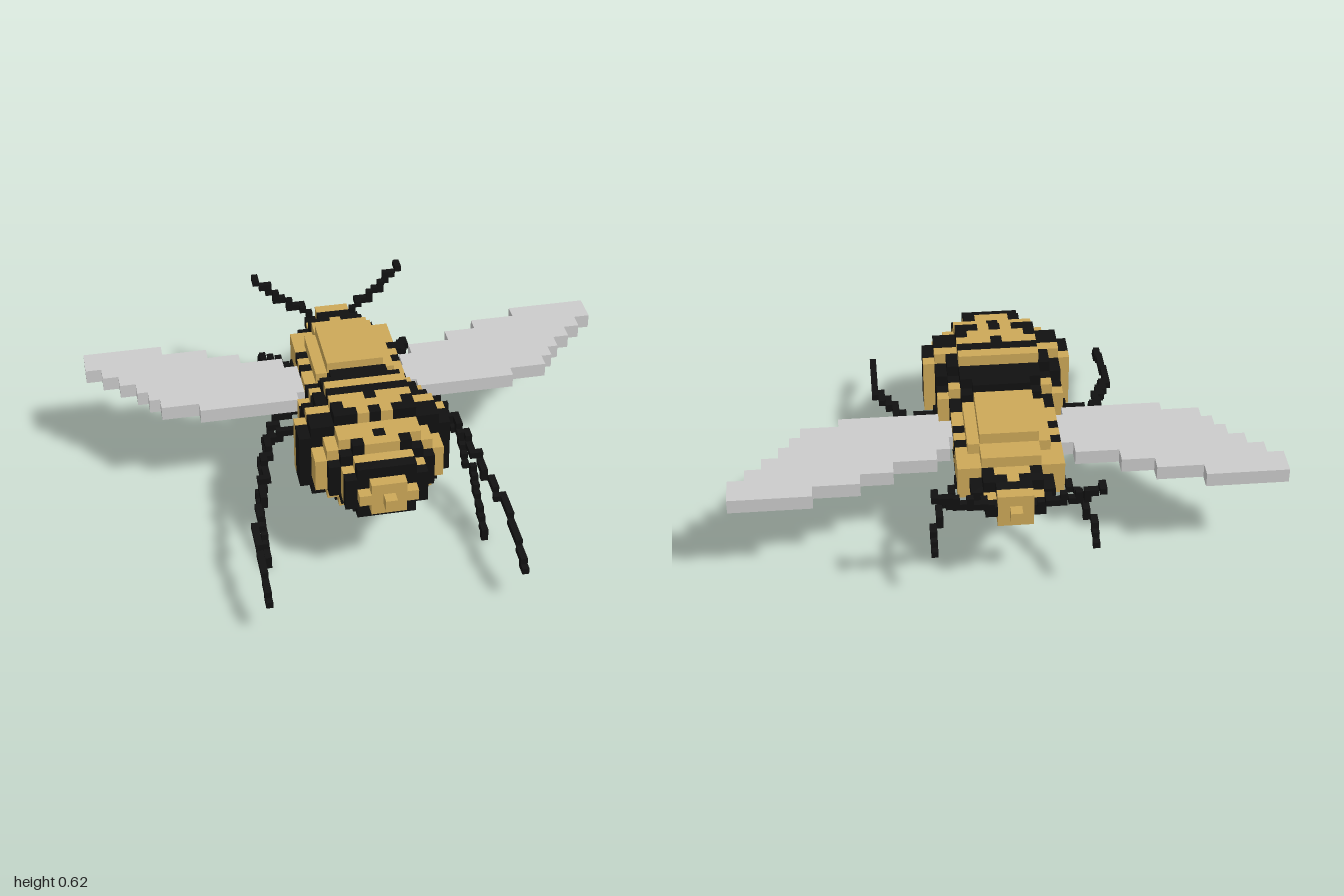
import * as THREE from 'three';
import { mergeGeometries } from 'three/addons/utils/BufferGeometryUtils.js';

const V = 0.0427; // body block size
const L = 0.025; // limb block size
const TAIL_Z = 0.587, MID_Y = 0.429, MID_X = -0.007;

const gold = new THREE.MeshStandardMaterial({ color: 0xcca858, flatShading: true });
const black = new THREE.MeshStandardMaterial({ color: 0x111111, flatShading: true });
const grey = new THREE.MeshStandardMaterial({ color: 0xcccccc, flatShading: true });

// Slices from tail to head: half width, half height (in blocks),
// colour by distance from the centre line (last letter continues outward)
const SLICES = [
  [0, 0, 'g'], [2, 1, 'g'], [3, 2, 'b'], [3, 2, 'g'], [4, 3, 'ggb'],
  [5, 3, 'bg'], [5, 3, 'g'], [6, 4, 'bgb'], [6, 4, 'gggb'], [6, 4, 'bg'],
  [5, 4, 'b'], [5, 4, 'ggggb'], [5, 3, 'bbbbb'], [5, 3, 'bbbbg'], [4, 3, 'b'], [4, 2, 'b'],
  [4, 3, 'g'], [4, 3, 'g'], [4, 3, 'g'], [4, 3, 'g'], [4, 3, 'g'], [4, 3, 'g'],
  [4, 2, 'g'], [4, 2, 'g'],
  [3, 1, 'ggb'], [3, 1, 'gb'], [2, 1, 'bbg'], [2, 1, 'g'], [0, 0, 'g'],
];

// Rounded cross-section: outer rows are narrower
function filled(i, j, k) {
  const s = SLICES[k];
  if (!s) return false;
  const [hw, hh] = s, y = Math.abs(j);
  if (y > hh) return false;
  let w = hw;
  if (y === hh && hh > 0) w = Math.ceil(hw / 2);
  else if (y === hh - 1 && hh >= 3) w = hw - 1;
  return Math.abs(i) <= w;
}

function isGold(i, j, k) {
  const x = Math.abs(i), y = Math.abs(j);
  // dark checks on the thorax flanks, and the eyes
  if (x === 4 && ((y === 1 && (k === 18 || k === 20)) || (y === 0 && k === 19))) return false;
  if (k === 27 && x === 2 && y === 0) return false;
  if (k === 13 && y === 3) return false;
  if (k === 11) return y === 4;
  const p = SLICES[k][2];
  return p[Math.min(x, p.length - 1)] === 'g';
}

function block(size, x, y, z) {
  return new THREE.BoxGeometry(size, size, size).translate(x, y, z);
}

// Surface blocks of the slices from k0 up to k1
function bodyPart(name, k0, k1) {
  const part = new THREE.Group();
  part.name = name;
  const sets = { gold: [], black: [] };
  for (let k = k0; k < k1; k++)
    for (let i = -6; i <= 6; i++)
      for (let j = -4; j <= 4; j++) {
        if (!filled(i, j, k)) continue;
        const inside = filled(i - 1, j, k) && filled(i + 1, j, k) && filled(i, j - 1, k) &&
          filled(i, j + 1, k) && filled(i, j, k - 1) && filled(i, j, k + 1);
        if (inside) continue;
        sets[isGold(i, j, k) ? 'gold' : 'black'].push(
          block(V, MID_X + i * V, MID_Y + j * V, TAIL_Z - (k + 0.5) * V));
      }
  for (const [key, mat] of [['gold', gold], ['black', black]]) {
    if (!sets[key].length) continue;
    const mesh = new THREE.Mesh(mergeGeometries(sets[key]), mat);
    mesh.name = `${name} ${key} blocks`;
    part.add(mesh);
  }
  return part;
}

// Limb of small blocks stepped along a path
function limb(name, points, side) {
  const path = new THREE.CurvePath();
  const pts = points.map(p => new THREE.Vector3(...p));
  for (let n = 1; n < pts.length; n++) path.add(new THREE.LineCurve3(pts[n - 1], pts[n]));
  const cells = new Map();
  const steps = Math.ceil(path.getLength() / (L * 0.6));
  for (let n = 0; n <= steps; n++) {
    const p = path.getPoint(n / steps);
    const c = [p.x, p.y, p.z].map(v => (Math.floor(v / L) + 0.5) * L);
    cells.set(c.map(v => v.toFixed(4)).join(), c);
  }
  const boxes = [...cells.values()].map(([x, y, z]) => block(L, MID_X + side * x, y, z));
  const mesh = new THREE.Mesh(mergeGeometries(boxes), black);
  mesh.name = name;
  return mesh;
}

// Flat wing with stepped edges
function wing(name, side) {
  const front = [[0.2, -0.27], [0.25, -0.33], [0.41, -0.39], [0.53, -0.445], [0.7, -0.5]];
  const rear = [[1, -0.39], [0.94, -0.33], [0.88, -0.27], [0.82, -0.21], [0.78, -0.155],
    [0.74, -0.1], [0.6, -0.055]];
  const pts = [[0.17, -0.2], [0.2, -0.2]];
  let z = -0.2;
  for (const [x, nz] of front) {
    pts.push([x, z], [x, nz]);
    z = nz;
  }
  pts.push([1, z]);
  for (const [x, nz] of rear) {
    pts.push([x, z], [x, nz]);
    z = nz;
  }
  pts.push([0.23, z], [0.23, -0.1], [0.17, -0.1]);
  const shape = new THREE.Shape(pts.map(([x, pz]) => new THREE.Vector2(side * x, -pz)));
  const geo = new THREE.ExtrudeGeometry(shape, { depth: 0.055, bevelEnabled: false });
  geo.rotateX(-Math.PI / 2).translate(0, 0.403, 0);
  const mesh = new THREE.Mesh(geo, grey);
  mesh.name = name;
  return mesh;
}

const LIMBS = {
  Antenna: [[0.09, 0.47, -0.62], [0.2, 0.52, -0.66], [0.3, 0.6, -0.705]],
  FrontLeg: [[0.17, 0.39, -0.34], [0.25, 0.35, -0.46], [0.29, 0.3, -0.57], [0.3, 0.25, -0.625]],
  MiddleLeg: [[0.18, 0.4, -0.1], [0.31, 0.38, -0.06], [0.38, 0.26, 0.03], [0.41, 0.15, 0.16],
    [0.415, 0.01, 0.35]],
  HindLeg: [[0.23, 0.4, 0.045], [0.36, 0.36, 0.05], [0.41, 0.29, 0.25], [0.46, 0.235, 0.42],
    [0.47, 0.215, 0.57], [0.47, 0.165, 0.71]],
};

export function createModel() {
  const model = new THREE.Group();
  model.name = 'bee';
  model.add(bodyPart('abdomen', 0, 16), bodyPart('thorax', 16, 24), bodyPart('head', 24, 29));
  for (const [prefix, side] of [['left', 1], ['right', -1]]) {
    model.add(wing(`${prefix}Wing`, side));
    for (const [name, points] of Object.entries(LIMBS)) model.add(limb(prefix + name, points, side));
  }
  return model;
}
